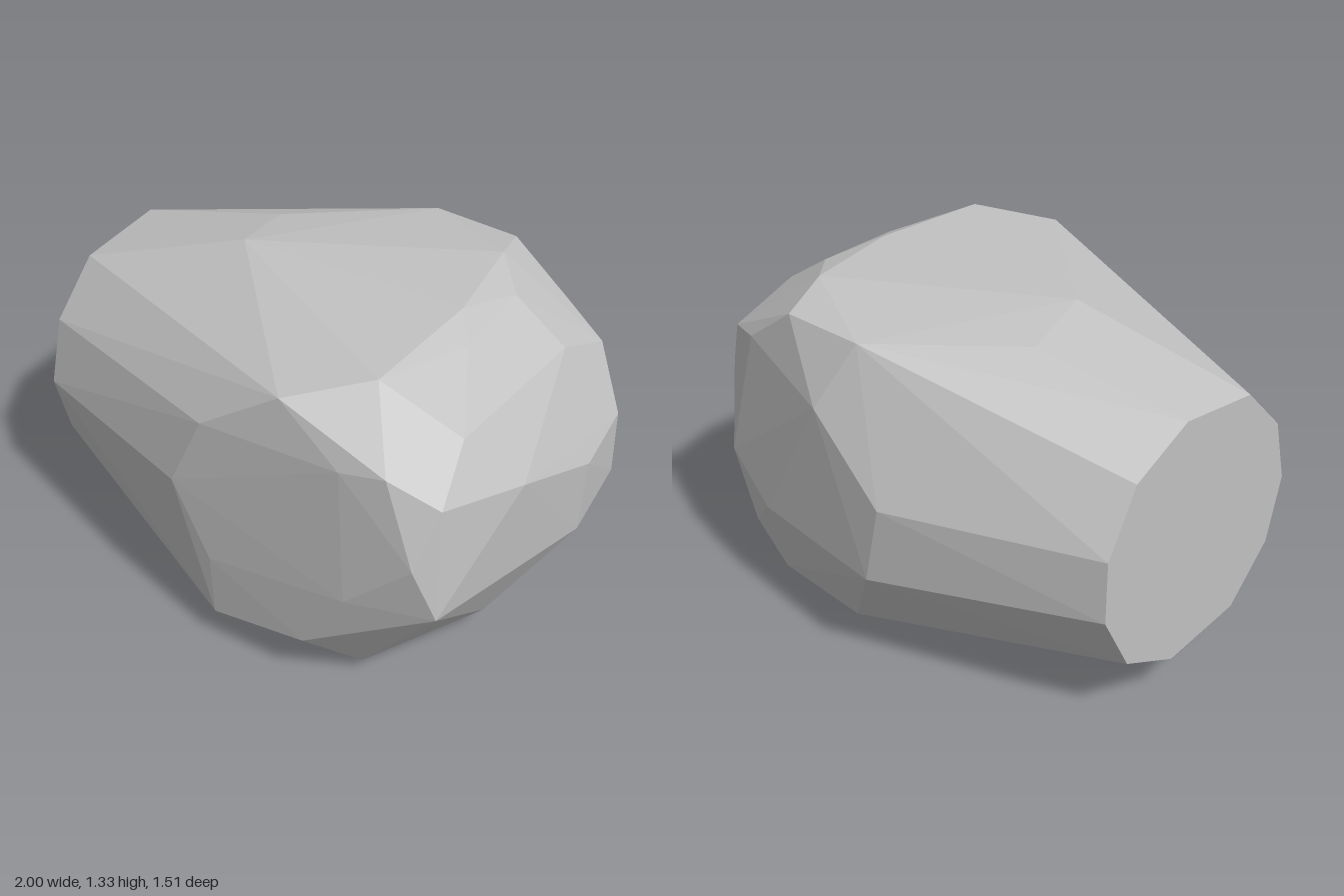
import * as THREE from 'three';
import { ConvexGeometry } from 'three/addons/geometries/ConvexGeometry.js';

// flat end: eleven-sided squarish ring at x = -1
function flatEnd() {
  const ring = [];
  const bend = (v, p) => Math.sign(v) * Math.abs(v) ** p;
  for (let i = 0; i < 11; i++) {
    const a = (i / 11) * Math.PI * 2;
    ring.push([-1, 0.675 + 0.495 * bend(Math.sin(a), 1.1), 0.51 * bend(Math.cos(a), 0.81)]);
  }
  return ring;
}

// corners of each side of the boulder
const top = [
  [-0.36, 1.33, 0.08], [-0.43, 1.28, -0.22], [0.45, 1.33, -0.41], [0.54, 1.33, 0],
  [0.54, 1.31, 0.5], [0.29, 1.25, 0.71], [0.03, 1.28, -0.62], [0.38, 1.275, -0.62],
  [0.61, 1.29, -0.24], [0.64, 1.28, 0.12],
];
const roundedEnd = [
  [0.82, 1.15, -0.24], [0.82, 1.14, 0.41], [0.88, 1, 0.62], [0.62, 1.1, -0.61],
  [0.83, 1.04, -0.51], [0.97, 0.92, 0.25], [1, 0.77, -0.16], [0.96, 0.81, -0.44],
  [0.96, 0.55, -0.44], [0.98, 0.46, -0.16], [0.9, 0.57, 0.66], [0.87, 0.35, -0.47],
];
const front = [
  [-0.17, 0.73, 0.755], [-0.03, 1.03, 0.745], [-0.02, 0.43, 0.745], [-0.03, 0.15, 0.72],
  [0.38, 0.23, 0.72], [0.57, 0.53, 0.735], [0.55, 1.08, 0.735], [0.72, 1.11, 0.71],
  [0.83, 0.78, 0.71],
];
const back = [
  [-0.19, 0.76, -0.757], [-0.12, 0.44, -0.757], [0.14, 1.03, -0.735], [0.5, 0.44, -0.69],
  [0.76, 0.57, -0.63], [0.64, 0.3, -0.635], [0.47, 0.16, -0.64], [0.07, 0.13, -0.64],
];
const bottom = [
  [-0.37, 0.03, 0.16], [-0.37, 0.035, -0.13], [0.27, 0, 0.1], [0.27, 0.005, -0.42],
  [0.26, 0.03, 0.53], [0.51, 0.06, 0.53], [0.65, 0.1, -0.38], [0.76, 0.13, 0.1],
];

export function createModel() {
  const stone = new THREE.MeshStandardMaterial({ color: 0xc2c2c2 });
  stone.name = 'stone grey';

  // faceted shell stretched over all corners
  const corners = [flatEnd(), top, roundedEnd, front, back, bottom].flat();
  const shell = new ConvexGeometry(corners.map((c) => new THREE.Vector3(...c)));
  const boulder = new THREE.Mesh(shell, stone);
  boulder.name = 'boulder';

  const group = new THREE.Group();
  group.name = 'rock';
  group.add(boulder);
  return group;
}
